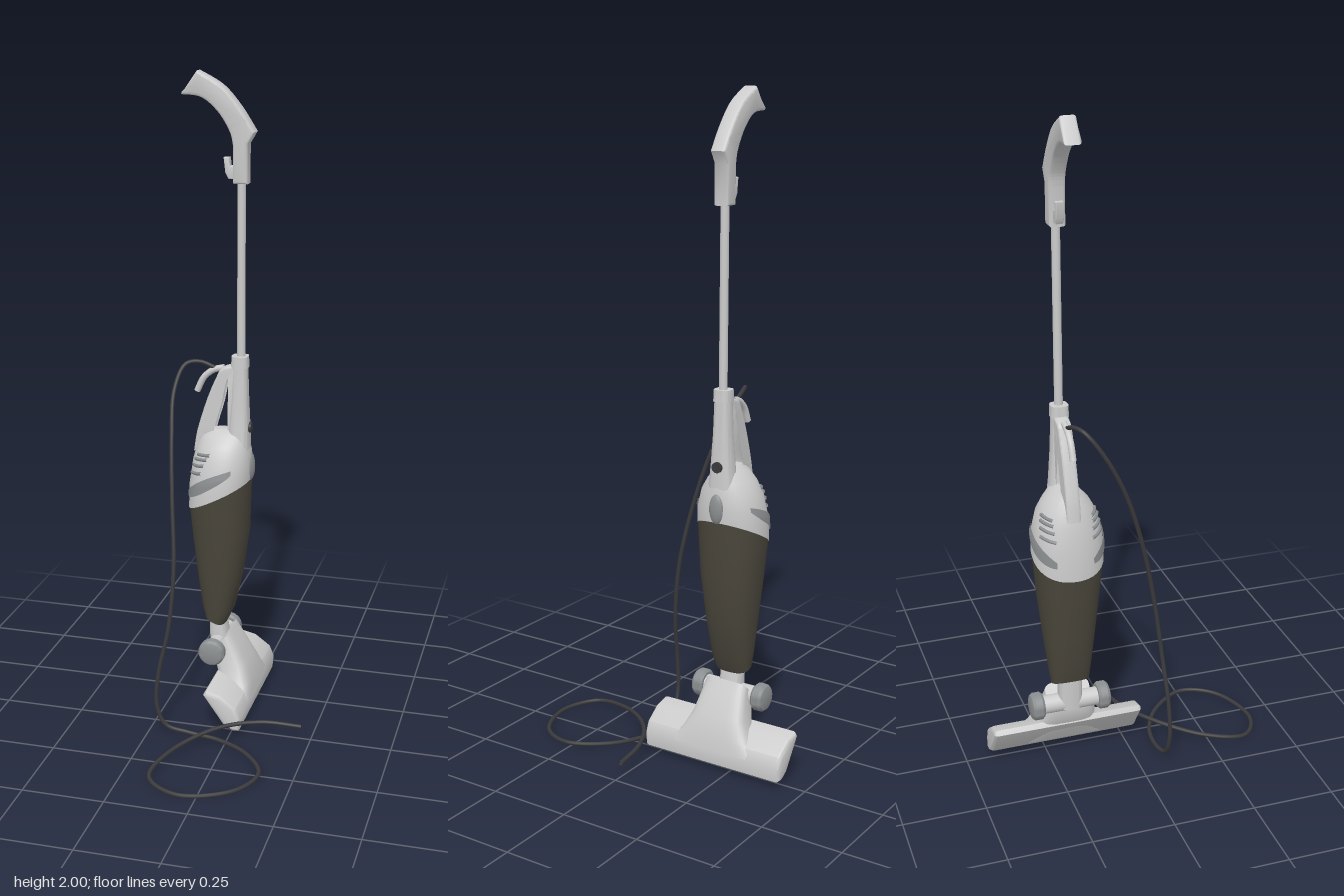
import * as THREE from 'three';
import { toCreasedNormals } from 'three/addons/utils/BufferGeometryUtils.js';

const mat = (color) => new THREE.MeshStandardMaterial({ color, side: THREE.DoubleSide });
const grey = mat(0xcccccc), panelGrey = mat(0x8c8f91), dark = mat(0x4a463c), black = mat(0x3a3a3c);

// Section: b = back [x,y], f = front [x,y], w = half width in z, p = squareness (2 is an ellipse)
function sectionPoint({ b, f, w, p = 2 }, a) {
  const bend = (t) => Math.sign(t) * Math.abs(t) ** (2 / p);
  const c = (1 + bend(Math.cos(a))) / 2;
  return new THREE.Vector3(b[0] + (f[0] - b[0]) * c, b[1] + (f[1] - b[1]) * c, w * bend(Math.sin(a)));
}

// Closed solid through sections listed from bottom to top
function loft(sections, n = 32, crease = 0.6) {
  const pos = [], idx = [], last = sections.length - 1;
  for (const s of sections)
    for (let j = 0; j < n; j++) pos.push(...sectionPoint(s, (j / n) * Math.PI * 2).toArray());
  for (const s of [sections[0], sections[last]])
    pos.push((s.b[0] + s.f[0]) / 2, (s.b[1] + s.f[1]) / 2, 0);
  const low = n * (last + 1), top = low + 1;
  for (let j = 0; j < n; j++) {
    const k = (j + 1) % n;
    for (let i = 0; i < last; i++) {
      const q = i * n, r = q + n;
      idx.push(q + j, r + j, q + k, q + k, r + j, r + k);
    }
    idx.push(low, j, k, top, last * n + k, last * n + j);
  }
  const g = new THREE.BufferGeometry();
  g.setAttribute('position', new THREE.Float32BufferAttribute(pos, 3));
  g.setIndex(idx);
  return toCreasedNormals(g, crease);
}

// Side outline extruded across z, centred, with rounded edges; width includes the bevel
function slab(shape, width, bevel) {
  const depth = width - 2 * bevel;
  const g = new THREE.ExtrudeGeometry(shape, {
    depth, bevelSize: bevel, bevelThickness: bevel, bevelOffset: -bevel, bevelSegments: 3, curveSegments: 8,
  });
  return toCreasedNormals(g.translate(0, 0, -depth / 2), 0.6);
}
const vecs = (pts) => pts.map(([x, y]) => new THREE.Vector2(x, y));
const outline = (pts) => new THREE.Shape(vecs(pts));

function add(parent, name, geometry, material = grey) {
  const m = new THREE.Mesh(geometry, material);
  m.name = name;
  parent.add(m);
  return m;
}

const bodySections = [
  { b: [-0.185, 0.67], f: [0.01, 0.77], w: 0.106, p: 2.2 },
  { b: [-0.183, 0.75], f: [0.012, 0.81], w: 0.104, p: 2.2 },
  { b: [-0.172, 0.83], f: [0.008, 0.86], w: 0.09, p: 2.1 },
  { b: [-0.16, 0.875], f: [0.002, 0.89], w: 0.07 },
  { b: [-0.145, 0.905], f: [-0.005, 0.915], w: 0.046 },
  { b: [-0.125, 0.925], f: [-0.02, 0.93], w: 0.02 },
];
// Point on the body skin at angle a and height v (section index), pushed out by `out`
function bodyPoint(a, v, out = 0) {
  const i = Math.min(Math.floor(v), bodySections.length - 2);
  const p = sectionPoint(bodySections[i], a).lerp(sectionPoint(bodySections[i + 1], a), v - i);
  return p.add(new THREE.Vector3(Math.cos(a), 0.2, Math.sin(a)).multiplyScalar(out));
}

// Leaf-shaped side panel lying on the body skin
function sidePanel(side) {
  const nu = 20, nv = 4, pos = [], idx = [];
  for (let i = 0; i <= nu; i++) {
    const t = i / nu, h = 0.62 * Math.sin(Math.PI * (0.08 + 0.84 * t)) ** 0.7;
    for (let j = 0; j <= nv; j++) {
      const v = Math.max(0.03, 0.65 + 0.65 * t + h * (j / nv - 0.6));
      pos.push(...bodyPoint(side * (2.65 - 1.6 * t), v, 0.004).toArray());
    }
  }
  for (let i = 0; i < nu; i++)
    for (let j = 0; j < nv; j++) {
      const q = i * (nv + 1) + j, r = q + nv + 1;
      if (side > 0) idx.push(q, q + 1, r, r, q + 1, r + 1);
      else idx.push(q, r, q + 1, r, r + 1, q + 1);
    }
  const g = new THREE.BufferGeometry();
  g.setAttribute('position', new THREE.Float32BufferAttribute(pos, 3));
  g.setIndex(idx);
  g.computeVertexNormals();
  return g;
}

export function createModel() {
  const model = new THREE.Group();
  const vacuum = new THREE.Group();
  vacuum.name = 'vacuum';
  vacuum.position.z = -0.193;
  model.add(vacuum);

  // Top grip, cord hook and pole
  const grip = new THREE.Shape();
  grip.moveTo(-0.152, 2);
  grip.lineTo(-0.2, 1.932);
  grip.splineThru(vecs([[-0.14, 1.925], [-0.09, 1.885], [-0.055, 1.83], [-0.045, 1.79]]));
  grip.lineTo(-0.045, 1.68);
  grip.lineTo(0, 1.68);
  grip.lineTo(0, 1.795);
  grip.lineTo(0.021, 1.83);
  grip.splineThru(vecs([[-0.025, 1.9], [-0.08, 1.96], [-0.152, 2]]));
  add(vacuum, 'topGrip', slab(grip, 0.048, 0.008));
  add(vacuum, 'upperCordHook', slab(outline([[-0.04, 1.73], [-0.055, 1.73], [-0.058, 1.755], [-0.075, 1.755],
    [-0.07, 1.71], [-0.06, 1.692], [-0.04, 1.692]]), 0.024, 0.003));
  add(vacuum, 'pole', new THREE.CylinderGeometry(0.0125, 0.0125, 0.56, 20)).position.set(-0.023, 1.42, 0);

  // Pole socket and carry handle
  add(vacuum, 'poleSocket', loft([
    { b: [-0.065, 0.84], f: [0.006, 0.84], w: 0.045, p: 3 },
    { b: [-0.058, 0.93], f: [0.004, 0.93], w: 0.034, p: 3 },
    { b: [-0.052, 1.03], f: [0, 1.03], w: 0.027, p: 3 },
    { b: [-0.048, 1.13], f: [-0.003, 1.13], w: 0.024, p: 3 },
  ]));
  add(vacuum, 'socketCollar', loft([
    { b: [-0.053, 1.125], f: [0.001, 1.125], w: 0.027, p: 3 },
    { b: [-0.051, 1.16], f: [-0.001, 1.16], w: 0.026, p: 3 },
  ]));
  const loop = new THREE.Shape();
  loop.moveTo(-0.17, 0.85);
  loop.splineThru(vecs([[-0.158, 0.92], [-0.127, 1.02], [-0.098, 1.09], [-0.08, 1.12], [-0.035, 1.135]]));
  loop.lineTo(-0.03, 0.85);
  const opening = new THREE.Path();
  opening.moveTo(-0.052, 1.1);
  opening.lineTo(-0.053, 0.915);
  opening.lineTo(-0.105, 0.905);
  opening.splineThru(vecs([[-0.112, 0.925], [-0.088, 1.01], [-0.07, 1.09], [-0.052, 1.1]]));
  loop.holes.push(opening);
  add(vacuum, 'carryHandle', slab(loop, 0.042, 0.008));
  const hook = new THREE.CatmullRomCurve3([[-0.075, 1.12], [-0.11, 1.11], [-0.14, 1.085], [-0.162, 1.04]]
    .map(([x, y]) => new THREE.Vector3(x, y, 0)));
  add(vacuum, 'lowerCordHook', new THREE.TubeGeometry(hook, 16, 0.01, 10));

  // Motor body with button, latch, side panels and vents
  add(vacuum, 'motorBody', loft(bodySections, 40));
  const button = add(vacuum, 'powerButton', new THREE.CylinderGeometry(0.016, 0.016, 0.014, 20), black);
  button.rotation.z = Math.PI / 2;
  button.position.set(0.004, 0.935, 0);
  const latch = add(vacuum, 'binLatch', new THREE.SphereGeometry(1, 20, 12), panelGrey);
  latch.scale.set(0.014, 0.045, 0.024);
  latch.position.set(0.007, 0.81, 0);
  for (const side of [1, -1]) {
    add(vacuum, 'sidePanel', sidePanel(side), panelGrey);
    for (let i = 0; i < 4; i++) {
      const pts = [0, 1, 2, 3].map((k) => bodyPoint(side * (2.6 - 0.2 * k - 0.07 * i), 1.5 + 0.32 * i, 0.001));
      add(vacuum, 'ventSlat', new THREE.TubeGeometry(new THREE.CatmullRomCurve3(pts), 10, 0.0055, 6), panelGrey);
    }
  }

  // Dust bin
  add(vacuum, 'dustBin', loft([
    { b: [-0.132, 0.305], f: [-0.068, 0.28], w: 0.057, p: 2.6 },
    { b: [-0.144, 0.35], f: [-0.045, 0.33], w: 0.064, p: 2.5 },
    { b: [-0.158, 0.45], f: [-0.018, 0.45], w: 0.077, p: 2.4 },
    { b: [-0.172, 0.57], f: [0.003, 0.6], w: 0.092, p: 2.3 },
    { b: [-0.182, 0.67], f: [0.008, 0.77], w: 0.104, p: 2.2 },
  ]), dark);

  // Neck, axle and wheels
  add(vacuum, 'neck', loft([
    { b: [-0.12, 0.2], f: [-0.055, 0.2], w: 0.036, p: 3 },
    { b: [-0.122, 0.31], f: [-0.072, 0.3], w: 0.036, p: 3 },
  ]));
  const axle = add(vacuum, 'axle', new THREE.CylinderGeometry(0.028, 0.028, 0.2, 24));
  axle.rotation.x = Math.PI / 2;
  axle.position.set(-0.09, 0.215, 0);
  const wheelProfile = vecs([[0, 0.085], [0.036, 0.085], [0.042, 0.092], [0.042, 0.113], [0.036, 0.121], [0.024, 0.125], [0, 0.125]]);
  for (const side of [1, -1]) {
    const wheel = add(vacuum, 'wheel', toCreasedNormals(new THREE.LatheGeometry(wheelProfile, 28), 0.5), panelGrey);
    wheel.rotation.x = side * Math.PI / 2;
    wheel.position.set(-0.09, 0.215, 0);
  }

  // Floor head: tilted wide plate, raised ends and central hump
  add(vacuum, 'floorHead', slab(outline([[-0.085, 0.128], [-0.02, 0.035], [0.01, 0.018], [0.03, 0.02],
    [0.034, 0.06], [0.02, 0.095], [-0.03, 0.132], [-0.075, 0.142]]), 0.472, 0.012));
  add(vacuum, 'headHump', loft([
    { b: [-0.03, 0.045], f: [0.035, 0.065], w: 0.165, p: 4 },
    { b: [-0.06, 0.09], f: [0.028, 0.11], w: 0.115, p: 4 },
    { b: [-0.085, 0.135], f: [0.008, 0.165], w: 0.088, p: 4 },
    { b: [-0.1, 0.185], f: [-0.025, 0.225], w: 0.076, p: 4 },
    { b: [-0.095, 0.215], f: [-0.048, 0.262], w: 0.07, p: 4 },
  ]));

  // Power cord falling to the floor and looping once
  const cord = [
    [-0.1, 1.115, -0.193], [-0.15, 1.135, -0.185], [-0.19, 1.13, -0.165], [-0.212, 1.06, -0.115],
    [-0.202, 0.93, -0.05], [-0.186, 0.76, 0.005], [-0.17, 0.55, 0.05], [-0.182, 0.36, 0.073],
    [-0.212, 0.21, 0.084], [-0.218, 0.1, 0.086], [-0.19, 0.035, 0.083], [-0.12, 0.015, 0.076], [-0.02, 0.01, 0.09],
    [0.08, 0.012, 0.15], [0.148, 0.015, 0.26], [0.1, 0.012, 0.365], [-0.055, 0.008, 0.421],
    [-0.158, 0.015, 0.36], [-0.135, 0.03, 0.23], [-0.02, 0.05, 0.085], [0.1, 0.05, 0.018], [0.22, 0.043, 0.002],
  ].map((p) => new THREE.Vector3(...p));
  add(model, 'powerCord', new THREE.TubeGeometry(new THREE.CatmullRomCurve3(cord), 220, 0.0065, 10), black);
  return model;
}
